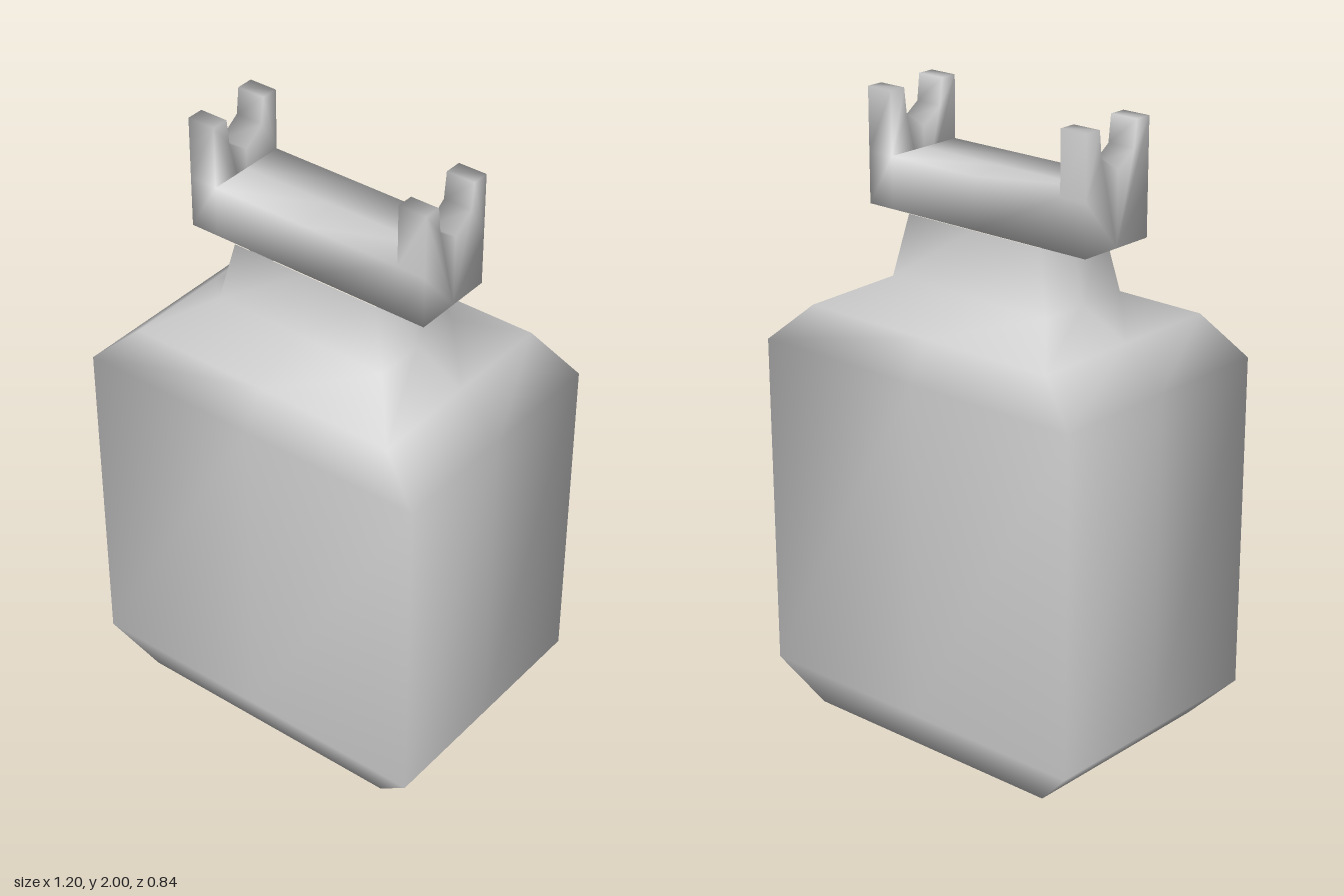
import * as THREE from 'three';
import { mergeGeometries, mergeVertices } from 'three/addons/utils/BufferGeometryUtils.js';

const material = new THREE.MeshStandardMaterial({ color: 0xcccccc });

// Rectangular ring of eight points, counter-clockwise from above
const ring = [[0, 1], [1, 1], [1, 0], [1, -1], [0, -1], [-1, -1], [-1, 0], [-1, 1]];

// Skin a stack of [y, halfWidth, halfDepth] sections, with a closed underside
function loft(sections) {
  const positions = [], index = [], n = ring.length;
  for (const [y, w, d] of sections) {
    for (const [x, z] of ring) positions.push(x * w, y, z * d);
  }
  for (let s = 0; s < sections.length - 1; s++) {
    for (let i = 0; i < n; i++) {
      const a = s * n + i, b = s * n + (i + 1) % n;
      index.push(a, b, b + n, a, b + n, a + n);
    }
  }
  const centre = positions.length / 3;
  positions.push(0, sections[0][0], 0);
  for (let i = 0; i < n; i++) index.push(centre, (i + 1) % n, i);
  const geometry = new THREE.BufferGeometry();
  geometry.setAttribute('position', new THREE.Float32BufferAttribute(positions, 3));
  geometry.setIndex(index);
  geometry.computeVertexNormals();
  return geometry;
}

// Notched end block, extruded along x from x0 to x0 + thickness
function endBlock(x0, thickness) {
  const outline = [
    [-0.14, 1.635], [0, 1.635], [0.14, 1.635], [0.14, 1.8], [0.14, 2], [0.083, 2],
    [0.073, 1.915], [0, 1.865], [-0.073, 1.915], [-0.083, 2], [-0.14, 2], [-0.14, 1.8],
  ];
  const shape = new THREE.Shape(outline.map(([z, y]) => new THREE.Vector2(z, y)));
  const geometry = new THREE.ExtrudeGeometry(shape, { depth: thickness, bevelEnabled: false });
  return geometry.rotateY(Math.PI / 2).translate(x0, 0, 0);
}

// Crossbar and forked ends welded into one softly shaded piece
function headGeometry() {
  const bar = new THREE.BoxGeometry(0.66, 0.165, 0.28, 2, 1, 2);
  bar.translate(0, 1.7175, 0);
  // drop the two end faces that meet the blocks
  bar.setIndex(Array.from(bar.index.array).slice(bar.groups[2].start));
  const parts = [bar.toNonIndexed(), endBlock(0.33, 0.095), endBlock(-0.425, 0.095)];
  for (const part of parts) {
    part.deleteAttribute('normal');
    part.deleteAttribute('uv');
    part.clearGroups();
  }
  const geometry = mergeVertices(mergeGeometries(parts), 1e-3);
  geometry.computeVertexNormals();
  return geometry;
}

export function createModel() {
  const group = new THREE.Group();
  const add = (name, geometry) => {
    const mesh = new THREE.Mesh(geometry, material);
    mesh.name = name;
    group.add(mesh);
  };

  // Chamfered body, shoulders and tapering neck
  add('bodyAndNeck', loft([
    [0, 0.465, 0.36],
    [0.14, 0.602, 0.42],
    [1.23, 0.602, 0.42],
    [1.355, 0.465, 0.357],
    [1.437, 0.305, 0.17],
    [1.635, 0.26, 0.143],
  ]));

  // Forked head on top of the neck
  add('forkedHead', headGeometry());

  return group;
}
